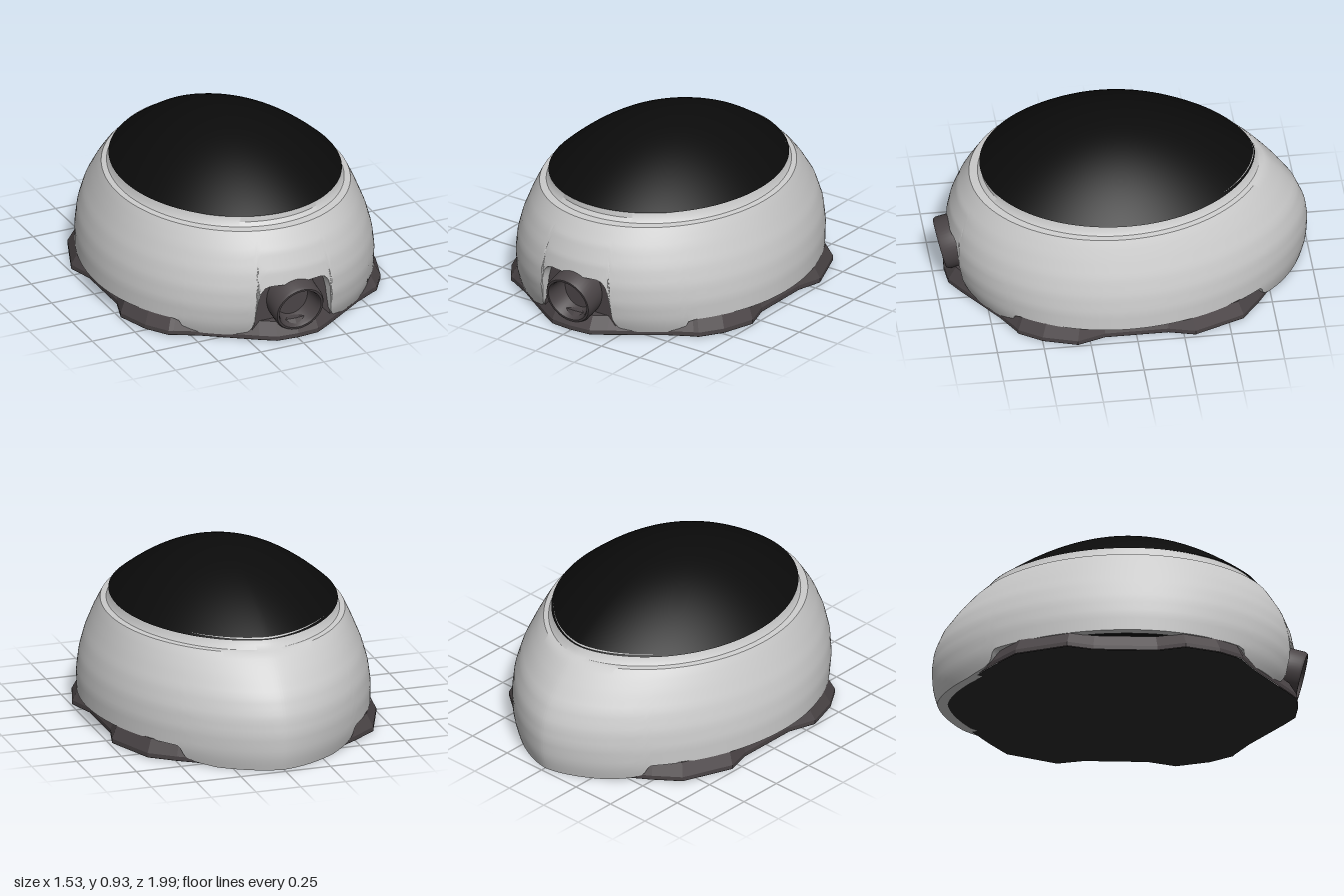
import * as THREE from 'three';
import { toCreasedNormals } from 'three/addons/utils/BufferGeometryUtils.js';

const mat = (color, flatShading = false) =>
  new THREE.MeshStandardMaterial({ color, flatShading, side: THREE.DoubleSide });

// Piecewise linear lookup in rows [key, value, value, ...]
function lookup(table, k) {
  let i = 1;
  while (i < table.length - 1 && table[i][0] < k) i++;
  const a = table[i - 1], b = table[i];
  const f = THREE.MathUtils.clamp((k - a[0]) / (b[0] - a[0]), 0, 1);
  return a.map((v, n) => v + (b[n] - v) * f);
}

// Closed surface of stacked rings; point(col, row) returns [x, y, z]
function rings(cols, rows, point) {
  const pos = [], index = [];
  for (let j = 0; j < rows; j++)
    for (let i = 0; i < cols; i++) pos.push(...point(i, j));
  for (let j = 0; j < rows - 1; j++)
    for (let i = 0; i < cols; i++) {
      const n = (i + 1) % cols;
      const a = j * cols + i, b = j * cols + n, c = a + cols, d = b + cols;
      index.push(a, c, b, b, c, d);
    }
  const g = new THREE.BufferGeometry();
  g.setAttribute('position', new THREE.Float32BufferAttribute(pos, 3));
  g.setIndex(index);
  g.computeVertexNormals();
  return g;
}

// Egg outline: round at the front, narrower towards the back
function egg(t, w, front, back, cz, power) {
  const c = Math.cos(t), s = Math.sin(t);
  const p = s < 0 ? power : 1;
  return [Math.sign(c) * w * Math.abs(c) ** p, cz + s * (s > 0 ? front - cz : cz - back)];
}

// Shell profile: height, half width, front z, back z
const PROFILE = [
  [0, 0.74, 0.86, -0.97], [0.05, 0.755, 0.885, -0.985], [0.1, 0.763, 0.905, -0.995],
  [0.2, 0.762, 0.925, -1], [0.3, 0.748, 0.925, -0.987], [0.4, 0.72, 0.905, -0.945],
  [0.5, 0.68, 0.865, -0.87], [0.57, 0.65, 0.82, -0.805], [0.6, 0.635, 0.8, -0.77],
  [0.605, 0.605, 0.755, -0.745], [0.625, 0.592, 0.735, -0.725], [0.662, 0.582, 0.73, -0.71],
];
// Lower rim height, by |x| in front and by -z behind
const FRONT_RIM = [
  [0, 0.325], [0.15, 0.325], [0.18, 0.315], [0.2, 0.29], [0.212, 0.25], [0.218, 0.12],
  [0.235, 0.07], [0.26, 0.04], [0.3, 0.03], [0.52, 0.03], [0.54, 0.05], [0.555, 0.09], [0.58, 0.1],
];
const BACK_RIM = [[0, 0.1], [0.69, 0.1], [0.705, 0.08], [0.72, 0.04], [0.76, 0.02], [0.85, 0.004]];

function shellGeometry() {
  const cols = 400, sideRows = 22, top = PROFILE.slice(-3);
  const g = rings(cols, sideRows + 1 + top.length, (i, j) => {
    const t = (i / cols) * Math.PI * 2;
    const [x0, z0] = egg(t, 0.762, 0.925, -1, 0.05, 1.25);
    const rim = z0 > 0 ? lookup(FRONT_RIM, Math.abs(x0))[1] : lookup(BACK_RIM, -z0)[1];
    // first row is the lip turned inwards, the last rows form the groove
    const y = j > sideRows ? top[j - sideRows - 1][0]
      : rim + (0.6 - rim) * Math.max(0, j - 1) / (sideRows - 1);
    const [, w, f, b] = lookup(PROFILE, y);
    const [x, z] = egg(t, w, f, b, 0.05, 1.25 - 0.1 * (y / 0.66));
    const k = j === 0 ? 0.94 : 1;
    return [x * k, y, z * k];
  });
  return toCreasedNormals(g, 0.6);
}

function domeGeometry() {
  const cols = 128, rows = 25;
  return rings(cols, rows, (i, j) => {
    const r = Math.cos((j / (rows - 1)) * Math.PI / 2);
    const [x, z] = egg((i / cols) * Math.PI * 2, 0.595, 0.745, -0.72, 0.04, 1.15);
    const edge = 0.655 + 0.008 * z;
    return [x * r, edge + (0.935 - edge) * (1 - r * r), 0.04 + (z - 0.04) * r];
  });
}

// Half outline of the base, front to back
const HALF = [
  [0, 0.94], [0.12, 0.93], [0.2, 0.88], [0.46, 0.7], [0.585, 0.63], [0.61, 0.62], [0.69, 0.5],
  [0.748, 0.32], [0.7, 0.17], [0.7, -0.17], [0.738, -0.31], [0.63, -0.58], [0.5, -0.68],
  [0.38, -0.76], [0.25, -0.85], [0, -0.95],
];
const OUTLINE = [...HALF.map(([x, z]) => [-x, z]), ...HALF.slice(1, -1).reverse()];

// Layers are [scale, y] pairs from bottom to top
const baseGeometry = (layers) => rings(OUTLINE.length, layers.length, (i, j) => {
  const [k, y] = layers[j], [x, z] = OUTLINE[i];
  return [x * k, y, z * k];
});

export function createModel() {
  const group = new THREE.Group();
  const add = (name, geometry, material) => {
    const mesh = new THREE.Mesh(geometry, material);
    mesh.name = name;
    group.add(mesh);
    return mesh;
  };
  const dark = mat(0x4a4446, true);

  add('shell', shellGeometry(), mat(0xcccccc));
  add('dome', domeGeometry(), mat(0x0b0b0b));

  // Faceted base with its underside
  add('base', baseGeometry([[1, 0.012], [1, 0.035], [0.955, 0.105], [0, 0.105]]), dark);
  add('underside', baseGeometry([[0, 0.01], [0.998, 0.01]]), mat(0x2a2a2a, true));

  // Housing filling the front opening
  const opening = new THREE.Shape();
  opening.moveTo(-0.23, 0.03);
  opening.lineTo(0.23, 0.03);
  opening.lineTo(0.22, 0.27);
  opening.quadraticCurveTo(0.22, 0.335, 0.15, 0.335);
  opening.lineTo(-0.15, 0.335);
  opening.quadraticCurveTo(-0.22, 0.335, -0.22, 0.27);
  const housing = new THREE.ExtrudeGeometry(opening, { depth: 0.2, bevelEnabled: false });
  add('nozzleHousing', housing, dark).position.z = 0.645;

  // Hollow nozzle, tilted slightly downwards
  const profile = [[0.15, -0.3], [0.142, -0.1], [0.142, -0.015], [0.134, 0], [0.122, 0],
    [0.114, -0.015], [0.095, -0.13], [0, -0.13]].map(([x, y]) => new THREE.Vector2(x, y));
  const nozzle = add('nozzle', toCreasedNormals(new THREE.LatheGeometry(profile, 48), 0.6), mat(0x4a4446));
  nozzle.rotation.x = Math.PI / 2 + 0.25;
  nozzle.position.set(0, 0.185, 0.96);

  return group;
}
